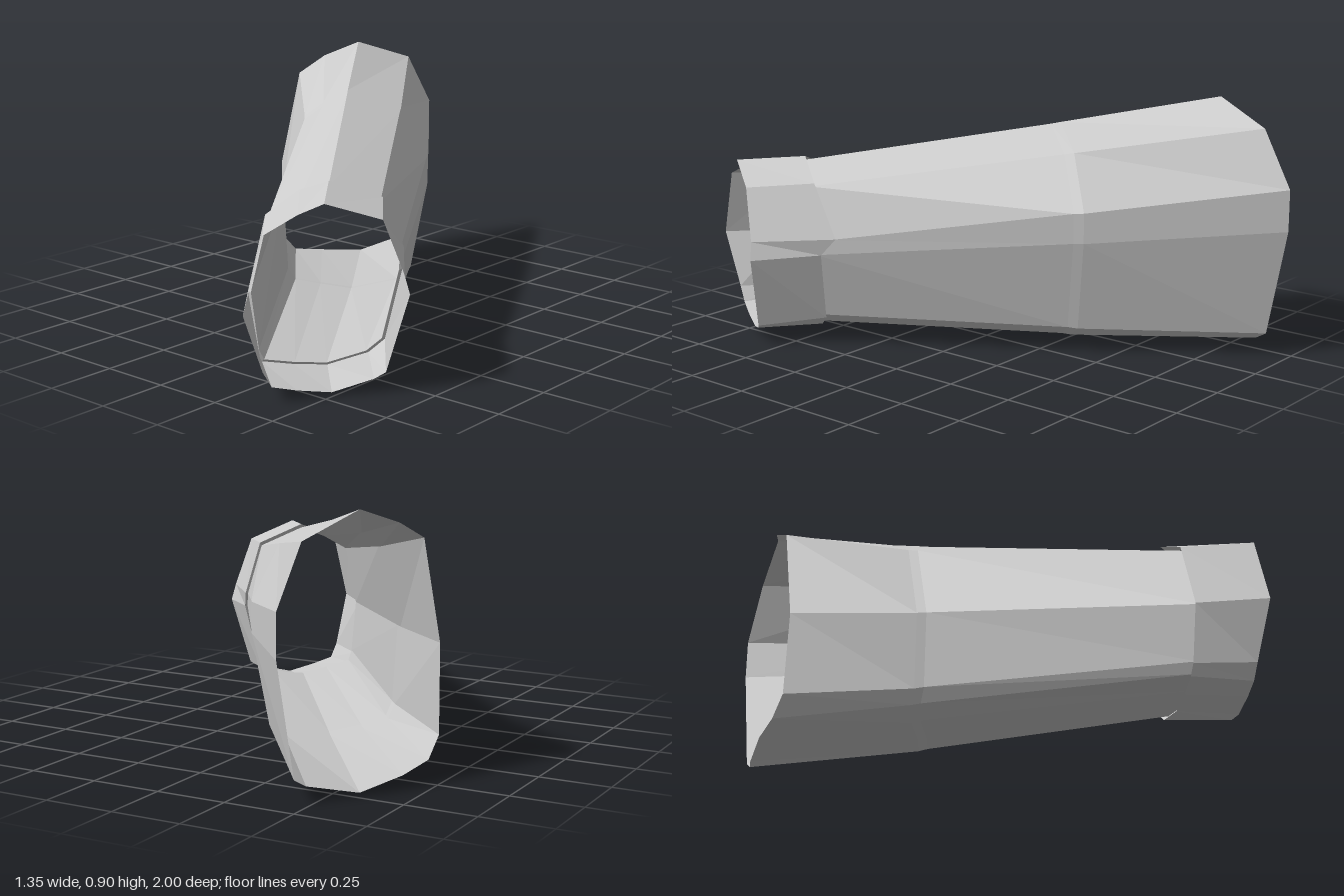
import * as THREE from 'three';

// Cross-sections as [x, y, z], running from the top ridge down the +x side,
// under the bottom and back up the -x side.
const elbow = [
  [-0.54, 0.90, -0.65], [-0.46, 0.82, -0.88], [-0.44, 0.62, -1.0], [-0.44, 0.47, -1.0],
  [-0.455, 0.08, -0.92], [-0.47, 0.05, -0.87], [-0.57, 0, -0.70], [-0.64, 0.025, -0.53],
  [-0.67, 0.05, -0.40], [-0.675, 0.12, -0.33], [-0.67, 0.43, -0.32], [-0.65, 0.79, -0.41],
  [-0.62, 0.85, -0.53],
];
const middle = [
  [-0.19, 0.80, -0.17], [-0.06, 0.725, -0.33], [0, 0.53, -0.42], [0, 0.42, -0.42],
  [-0.04, 0.09, -0.37], [-0.07, 0.05, -0.32], [-0.18, 0.025, -0.18], [-0.27, 0.045, -0.10],
  [-0.33, 0.07, -0.02], [-0.34, 0.12, 0.01], [-0.35, 0.40, 0.03], [-0.32, 0.70, -0.07],
  [-0.27, 0.75, -0.12],
];
const cuffBack = [
  [0.36, 0.665, 0.57], [0.465, 0.60, 0.42], [0.47, 0.41, 0.315], [0.50, 0.35, 0.36],
  [0.45, 0.10, 0.39], [0.42, 0.06, 0.44], [0.35, 0.035, 0.57], [0.29, 0.05, 0.67],
  [0.23, 0.07, 0.76], [0.225, 0.11, 0.78], [0.22, 0.32, 0.81], [0.235, 0.565, 0.74],
  [0.27, 0.63, 0.61],
];
const cuffFront = [
  [0.515, 0.65, 0.77], [0.62, 0.585, 0.61], [0.66, 0.40, 0.55], [0.675, 0.335, 0.54],
  [0.61, 0.07, 0.58], [0.585, 0.05, 0.61], [0.50, 0.015, 0.72], [0.44, 0.035, 0.82],
  [0.395, 0.055, 0.89], [0.385, 0.11, 0.92], [0.38, 0.315, 1.0], [0.40, 0.56, 0.93],
  [0.44, 0.61, 0.81],
];

// Shrinks a ring about its centre and slides it along the arm.
function inset(ring, scale, slide) {
  const c = [0, 1, 2].map(k => ring.reduce((s, p) => s + p[k], 0) / ring.length);
  const dir = [0.6, 0, 0.8];
  return ring.map(p => p.map((v, k) => c[k] + (v - c[k]) * scale + dir[k] * slide));
}

// Skins a list of rings into an open tube.
function skin(name, rings, material) {
  const n = rings[0].length;
  const index = [];
  for (let i = 0; i < rings.length - 1; i++) {
    for (let j = 0; j < n; j++) {
      const a = i * n + j, b = i * n + (j + 1) % n;
      index.push(a, a + n, b, b, a + n, b + n);
    }
  }
  const geometry = new THREE.BufferGeometry();
  geometry.setAttribute('position', new THREE.Float32BufferAttribute(rings.flat(2), 3));
  geometry.setIndex(index);
  geometry.computeVertexNormals();
  const mesh = new THREE.Mesh(geometry, material);
  mesh.name = name;
  return mesh;
}

export function createModel() {
  const group = new THREE.Group();
  group.name = 'forearmGuard';
  const material = new THREE.MeshStandardMaterial({
    color: 0xcccccc, flatShading: true, side: THREE.DoubleSide,
  });

  // Tapered sleeve, with a shallow step around its middle
  const stepBack = inset(middle, 1, -0.015);
  const stepFront = inset(middle, 0.985, 0.02);
  const wrist = inset(cuffBack, 0.955, 0.015);
  group.add(skin('upperSleeve', [elbow, stepBack], material));
  group.add(skin('sleeveStep', [stepBack, stepFront], material));
  group.add(skin('lowerSleeve', [stepFront, wrist], material));

  // Raised cuff and the narrow lip joining it to the sleeve
  group.add(skin('cuffLip', [wrist, cuffBack], material));
  group.add(skin('cuff', [cuffBack, cuffFront], material));
  return group;
}
